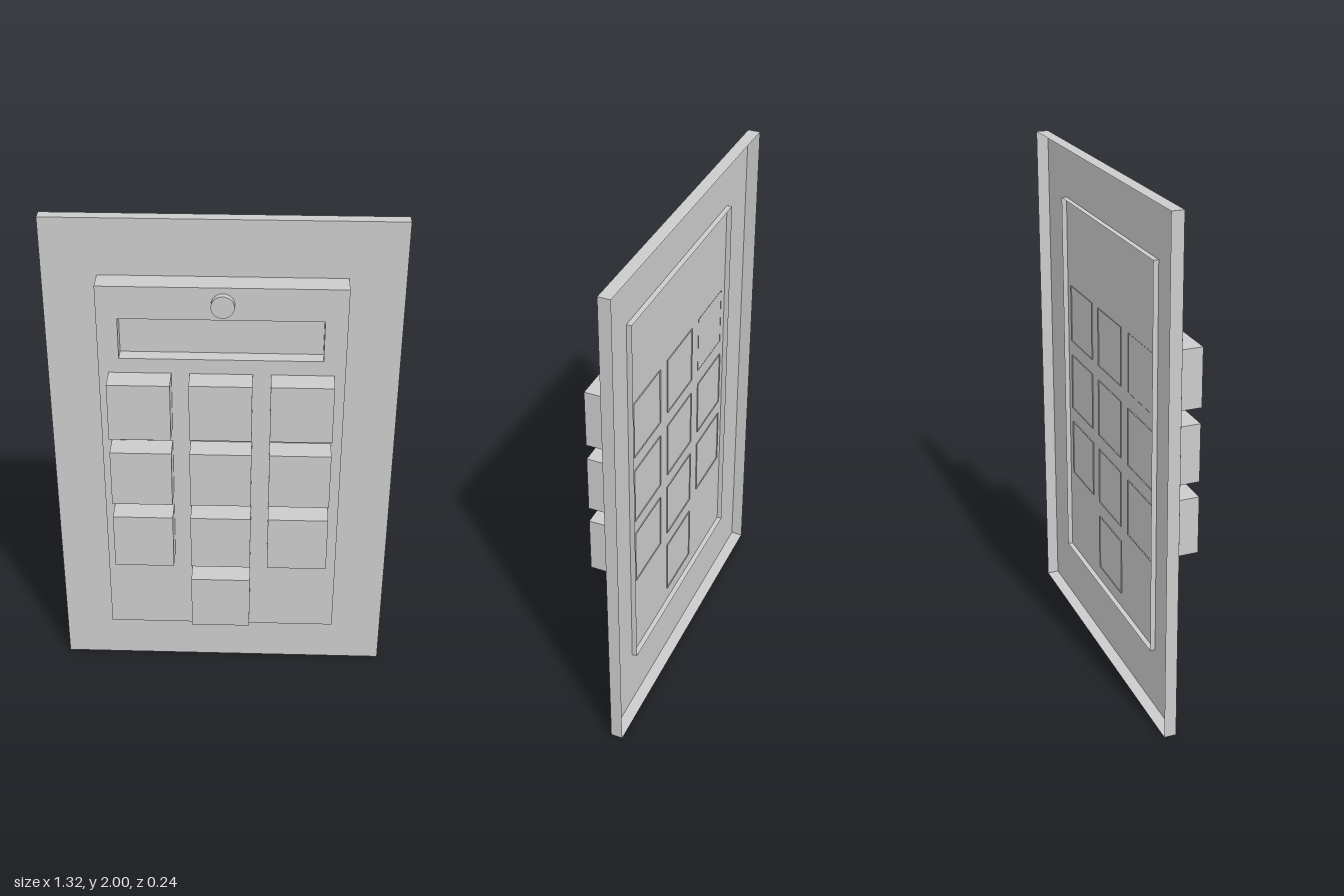
import * as THREE from 'three';

const material = new THREE.MeshStandardMaterial({ color: 0xcccccc, flatShading: true, side: THREE.DoubleSide });

// Box shell from its bounds, leaving out the listed faces (0-5: +x -x +y -y +z -z)
function shell(name, [x0, x1], [y0, y1], [z0, z1], open) {
  const geometry = new THREE.BoxGeometry(x1 - x0, y1 - y0, z1 - z0);
  const index = Array.from(geometry.index.array);
  geometry.setIndex(index.filter((_, i) => !open.includes(Math.floor(i / 6))));
  geometry.clearGroups();
  geometry.translate((x0 + x1) / 2, (y0 + y1) / 2, (z0 + z1) / 2);
  const mesh = new THREE.Mesh(geometry, material);
  mesh.name = name;
  return mesh;
}

// Closed rectangle outline for shapes and holes
function rectangle(Type, [x0, x1], [y0, y1]) {
  return new Type([[x0, y0], [x1, y0], [x1, y1], [x0, y1]].map(([x, y]) => new THREE.Vector2(x, y)));
}

export function createModel() {
  const model = new THREE.Group();
  model.name = 'keypad';
  const FRONT = 4, BACK = 5;

  // Wall plate: a shallow tray, open at the back
  model.add(shell('wallPlate', [-0.66, 0.66], [0, 2], [-0.12, -0.073], [BACK]));

  // Raised panel: its side walls poke slightly through the plate
  const panelX = [-0.457, 0.453], panelY = [0.25, 1.78], panelFront = 0.02;
  const panel = new THREE.Group();
  panel.name = 'panel';
  panel.add(shell('panelWalls', panelX, panelY, [-0.093, panelFront], [FRONT, BACK]));

  // Panel face with the display window cut out
  const windowX = [-0.38, 0.37], windowY = [1.49, 1.652];
  const faceShape = rectangle(THREE.Shape, panelX, panelY);
  faceShape.holes.push(rectangle(THREE.Path, windowX, windowY));
  const face = new THREE.Mesh(new THREE.ShapeGeometry(faceShape), material);
  face.name = 'panelFace';
  face.position.z = panelFront;
  panel.add(face);

  // Display pocket, open at the front
  panel.add(shell('displayRecess', windowX, windowY, [-0.035, panelFront], [FRONT]));
  model.add(panel);

  // Indicator light
  const light = new THREE.Mesh(
    new THREE.CylinderGeometry(0.043, 0.043, 0.04, 32).rotateX(Math.PI / 2),
    new THREE.MeshStandardMaterial({ color: 0xcccccc })
  );
  light.name = 'indicatorLight';
  light.position.set(0.002, 1.715, 0.026);
  model.add(light);

  // Keys: three rows of three and a single one below
  const keys = new THREE.Group();
  keys.name = 'keys';
  const size = 0.232;
  [1.315, 1.021, 0.727, 0.429].forEach((y, row) => {
    [-0.304, -0.004, 0.295].forEach((x, column) => {
      if (row === 3 && column !== 1) return;
      const shift = row === 0 && column === 0 ? 0.003 : 0;
      keys.add(shell('key', [x - size / 2, x + size / 2], [y - size / 2, y + size / 2],
        [-0.077 + shift, 0.114 + shift], [BACK]));
    });
  });
  model.add(keys);

  return model;
}
